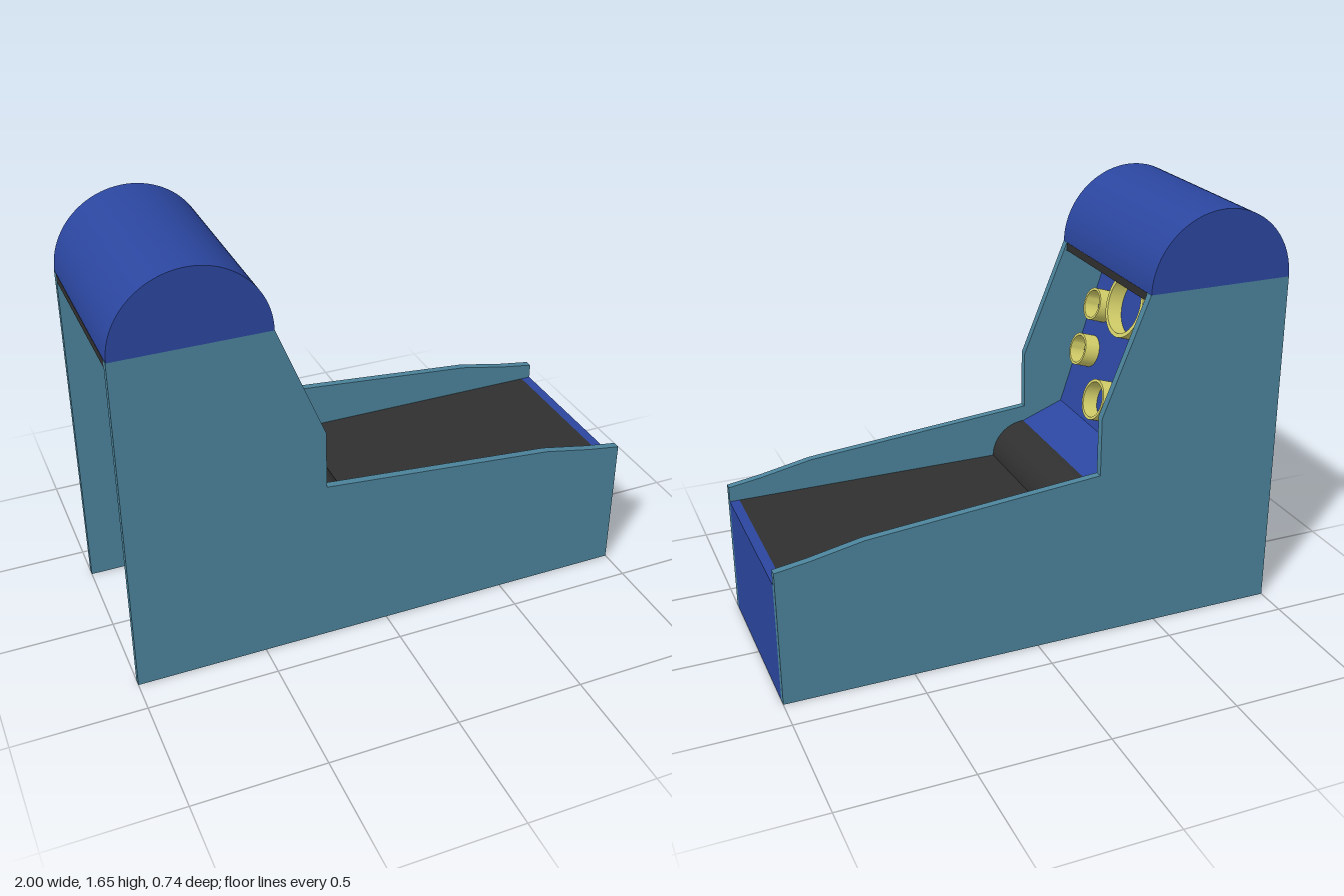
import * as THREE from 'three';
import { toCreasedNormals } from 'three/addons/utils/BufferGeometryUtils.js';

const paint = (color) => new THREE.MeshStandardMaterial({ color });
const TEAL = paint(0x4c849c), BLUE = paint(0x2b469f), DARK = paint(0x303030), YELLOW = paint(0xd8d46c);

const HALF = 0.37;   // half the cabinet width
const INNER = 0.34;  // half the width between the side panels

function add(parent, name, geometry, material) {
  const mesh = new THREE.Mesh(geometry, material);
  mesh.name = name;
  parent.add(mesh);
  return mesh;
}

// Side-on outline swept across the width from z0 to z1
function sweep(shape, z0, z1) {
  const g = new THREE.ExtrudeGeometry(shape, { depth: z1 - z0, bevelEnabled: false, curveSegments: 24 });
  g.translate(0, 0, z0);
  return toCreasedNormals(g, 0.5);
}

const outline = (pts) => new THREE.Shape(pts.map(([x, y]) => new THREE.Vector2(x, y)));

// Short open tube whose axis points along +x
function ringGeometry(radius, wall, length) {
  const r = radius - wall;
  const profile = [[r, 0], [radius, 0], [radius, length], [r, length], [r, 0]]
    .map(([x, y]) => new THREE.Vector2(x, y));
  const g = toCreasedNormals(new THREE.LatheGeometry(profile, 36), 0.6);
  return g.rotateZ(-Math.PI / 2);
}

export function createModel() {
  const model = new THREE.Group();
  model.name = 'ballRollerCabinet';

  // Two side panels
  const side = outline([[-1, 0], [1, 0], [1, 0.54], [0.87, 0.56], [0.67, 0.6],
    [-0.245, 0.68], [-0.245, 0.91], [-0.425, 1.36], [-1, 1.36]]);
  add(model, 'leftSidePanel', sweep(side, INNER, HALF), TEAL);
  add(model, 'rightSidePanel', sweep(side, -HALF, -INNER), TEAL);

  // Half-round hood on a dark base board
  const hood = new THREE.Shape();
  hood.absarc(-0.7125, 1.36, 0.2865, 0, Math.PI, false);
  hood.closePath();
  add(model, 'hood', sweep(hood, -HALF, HALF), BLUE);
  add(model, 'hoodBase', sweep(outline([[-1, 1.328], [-0.425, 1.328], [-0.425, 1.36], [-1, 1.36]]), -INNER, INNER), DARK);

  // Lane with its end plate and the curved jump
  add(model, 'endPlate', sweep(outline([[0.962, 0], [1, 0], [1, 0.48], [0.962, 0.48]]), -INNER, INNER), BLUE);
  add(model, 'lane', sweep(outline([[-0.13, 0.455], [0.962, 0.455], [0.962, 0.48], [-0.13, 0.48]]), -INNER, INNER), DARK);
  const jump = new THREE.Shape();
  jump.moveTo(-0.24, 0.48);
  jump.absarc(-0.24, 0.48, 0.135, 0, Math.PI / 2, false);
  jump.closePath();
  add(model, 'jump', sweep(jump, -INNER, INNER), DARK);

  // Sloped shelf between the jump and the target board
  add(model, 'shelf', sweep(outline([[-0.42, 0.655], [-0.24, 0.588], [-0.24, 0.615], [-0.41, 0.68]]), -INNER, INNER), BLUE);

  // Leaning target board: local +y runs up the board, local +x points out of it
  const target = new THREE.Group();
  target.name = 'target';
  target.position.set(-0.41, 0.68, 0);
  target.rotation.z = THREE.MathUtils.degToRad(18);
  model.add(target);
  add(target, 'targetBoard', sweep(outline([[-0.025, 0], [0, 0], [0, 0.69], [-0.025, 0.69]]), -INNER, INNER), BLUE);

  // Scoring rings
  const ring = (name, radius, wall, up, z) =>
    add(target, name, ringGeometry(radius, wall, 0.065), YELLOW).position.set(-0.002, up, z);
  ring('largeRing', 0.132, 0.016, 0.525, 0);
  ring('lowerRing', 0.081, 0.011, 0.126, 0);
  for (const s of [1, -1]) {
    const label = s > 0 ? 'left' : 'right';
    ring(label + 'UpperRing', 0.065, 0.01, 0.452, 0.23 * s);
    ring(label + 'LowerRing', 0.065, 0.01, 0.259, 0.23 * s);
  }
  return model;
}
